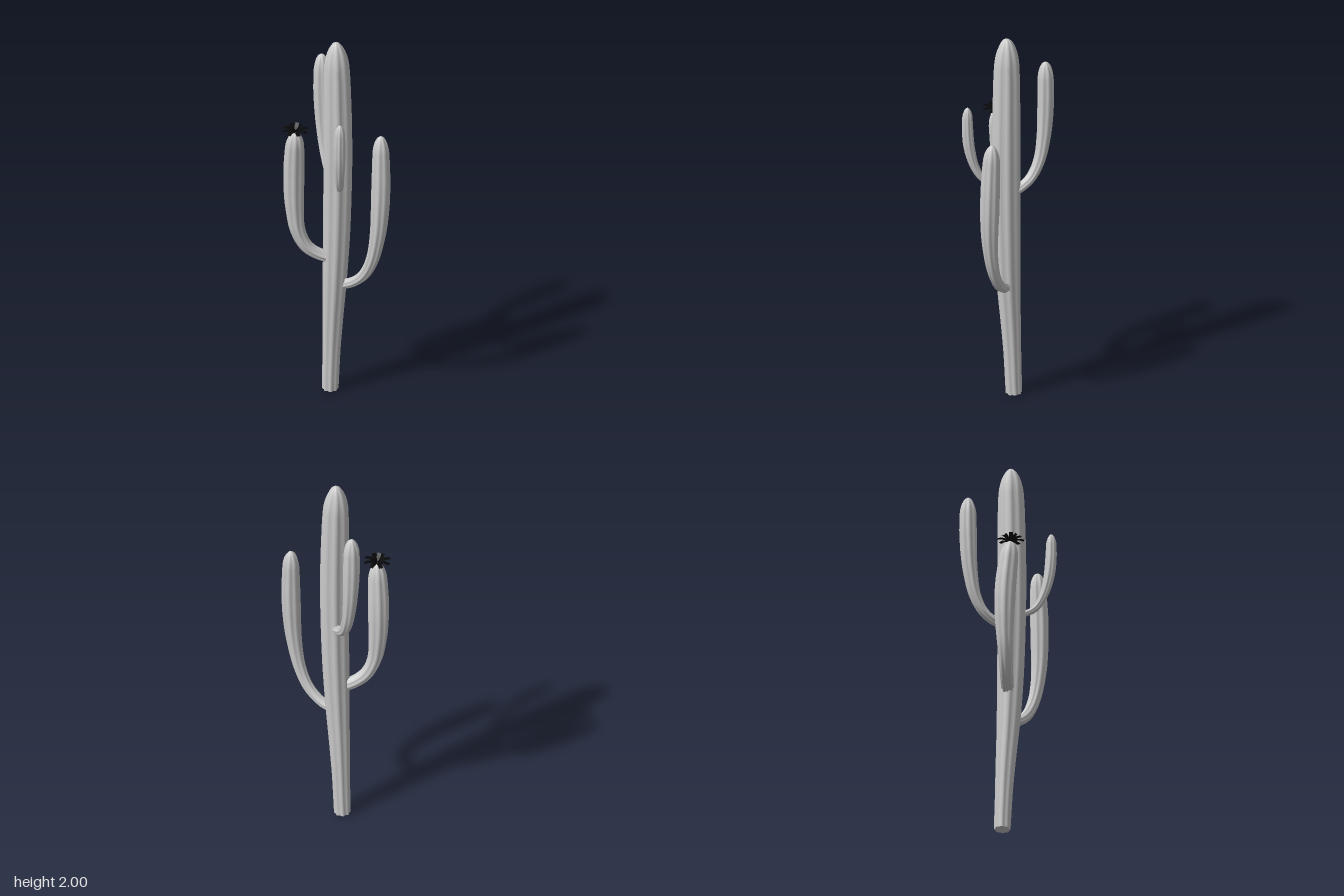
import * as THREE from 'three';

const RIBS = 8, SIDES = 32;

// Ribbed stem swept along a path, with a flat base and a domed tip
function stemGeometry(path, radii, dome) {
  const curve = new THREE.CatmullRomCurve3(path.map(p => new THREE.Vector3(...p)));
  const bodyEnd = 1 - dome / curve.getLength();
  const steps = [];
  for (let i = 0; i <= 30; i++) steps.push([bodyEnd * i / 30, 1]);
  for (let i = 1; i <= 9; i++) {
    const a = i / 9 * Math.PI / 2;
    steps.push([Math.min(1, bodyEnd + (1 - bodyEnd) * Math.sin(a)), i === 9 ? 0 : Math.cos(a)]);
  }
  const pos = [], index = [];
  const normal = new THREE.Vector3(1, 0, 0.2);
  for (const [u, scale] of steps) {
    const c = curve.getPointAt(u), t = curve.getTangentAt(u);
    normal.addScaledVector(t, -normal.dot(t)).normalize();
    const side = new THREE.Vector3().crossVectors(t, normal);
    const f = u * (radii.length - 1), k = Math.min(Math.floor(f), radii.length - 2);
    const r = THREE.MathUtils.lerp(radii[k], radii[k + 1], f - k) * scale;
    for (let j = 0; j < SIDES; j++) {
      const a = j / SIDES * Math.PI * 2;
      const rr = r * (0.92 + 0.08 * Math.cos(RIBS * a));
      const p = c.clone().addScaledVector(normal, rr * Math.cos(a)).addScaledVector(side, rr * Math.sin(a));
      pos.push(p.x, p.y, p.z);
    }
  }
  for (let i = 0; i < steps.length - 1; i++) {
    for (let j = 0; j < SIDES; j++) {
      const a = i * SIDES + j, b = i * SIDES + (j + 1) % SIDES;
      index.push(a, b, a + SIDES, b, b + SIDES, a + SIDES);
    }
  }
  // base cap with its own vertices, so its edge stays sharp
  const first = pos.length / 3;
  pos.push(...pos.slice(0, SIDES * 3), ...path[0]);
  for (let j = 0; j < SIDES; j++) index.push(first + SIDES, first + (j + 1) % SIDES, first + j);

  const g = new THREE.BufferGeometry();
  g.setAttribute('position', new THREE.Float32BufferAttribute(pos, 3));
  g.setIndex(index);
  g.computeVertexNormals();
  return g;
}

// Thin petal that rises from the centre and arches outward along +z
function petalGeometry(length, width, rise, droop) {
  const g = new THREE.PlaneGeometry(width, 1, 1, 6);
  const p = g.attributes.position;
  for (let i = 0; i < p.count; i++) {
    const s = p.getY(i) + 0.5;
    p.setXYZ(i, p.getX(i), rise * s - droop * s * s, length * s);
  }
  g.computeVertexNormals();
  return g;
}

export function createModel() {
  const model = new THREE.Group();
  model.name = 'cactus';
  const skin = new THREE.MeshStandardMaterial({ color: 0xcccccc });
  const petalMaterial = new THREE.MeshStandardMaterial({ color: 0x080808, side: THREE.DoubleSide });

  const addStem = (name, path, radii, dome) => {
    const mesh = new THREE.Mesh(stemGeometry(path, radii, dome), skin);
    mesh.name = name;
    model.add(mesh);
  };

  // Trunk, narrow at the foot and leaning slightly
  addStem('trunk',
    [[-0.003, 0, -0.026], [0.003, 0.3, -0.012], [0.012, 0.65, 0.01], [0.02, 1.0, 0.022],
      [0.023, 1.4, 0.026], [0.02, 1.75, 0.023], [0.016, 2, 0.02]],
    [0.042, 0.045, 0.053, 0.062, 0.068, 0.071, 0.073, 0.072, 0.068, 0.058], 0.15);

  // Arms, each leaving the trunk sideways and turning upward
  addStem('leftArm',
    [[0.03, 0.615, 0.02], [0.08, 0.64, 0.065], [0.13, 0.7, 0.115], [0.165, 0.8, 0.155],
      [0.19, 0.97, 0.182], [0.203, 1.2, 0.187], [0.207, 1.52, 0.177]],
    [0.025, 0.027, 0.031, 0.037, 0.044, 0.049, 0.049, 0.045, 0.038], 0.09);
  addStem('rightArm',
    [[0, 0.765, 0.005], [-0.06, 0.783, -0.008], [-0.125, 0.83, -0.02], [-0.168, 0.92, -0.03],
      [-0.184, 1.05, -0.036], [-0.189, 1.25, -0.032], [-0.189, 1.505, -0.006]],
    [0.032, 0.033, 0.036, 0.042, 0.049, 0.053, 0.053, 0.049, 0.042], 0.09);
  addStem('backArm',
    [[0.03, 1.14, 0], [0.025, 1.155, -0.05], [0.015, 1.195, -0.11], [0.008, 1.28, -0.158],
      [0.002, 1.42, -0.186], [-0.002, 1.6, -0.197], [-0.003, 1.82, -0.197]],
    [0.025, 0.026, 0.029, 0.034, 0.039, 0.043, 0.045, 0.043, 0.038], 0.09);
  addStem('frontArm',
    [[0.025, 1.205, 0.05], [0.015, 1.21, 0.1], [0.003, 1.235, 0.145], [-0.008, 1.3, 0.182],
      [-0.015, 1.4, 0.208], [-0.017, 1.5, 0.218], [-0.016, 1.635, 0.22]],
    [0.016, 0.017, 0.02, 0.023, 0.027, 0.029, 0.029, 0.027, 0.024], 0.06);

  // Flower on the right arm: a spreading outer ring and a more upright inner ring
  const flower = new THREE.Group();
  flower.name = 'flower';
  flower.position.set(-0.19, 1.498, -0.005);
  const addRing = (name, count, geometry, turn) => {
    for (let i = 0; i < count; i++) {
      const petal = new THREE.Mesh(geometry, petalMaterial);
      petal.name = name;
      petal.rotation.y = turn + i / count * Math.PI * 2;
      flower.add(petal);
    }
  };
  addRing('outerPetal', 8, petalGeometry(0.067, 0.022, 0.055, 0.04), 0.03);
  addRing('innerPetal', 6, petalGeometry(0.032, 0.02, 0.055, 0.013), 0.4);
  model.add(flower);

  return model;
}
